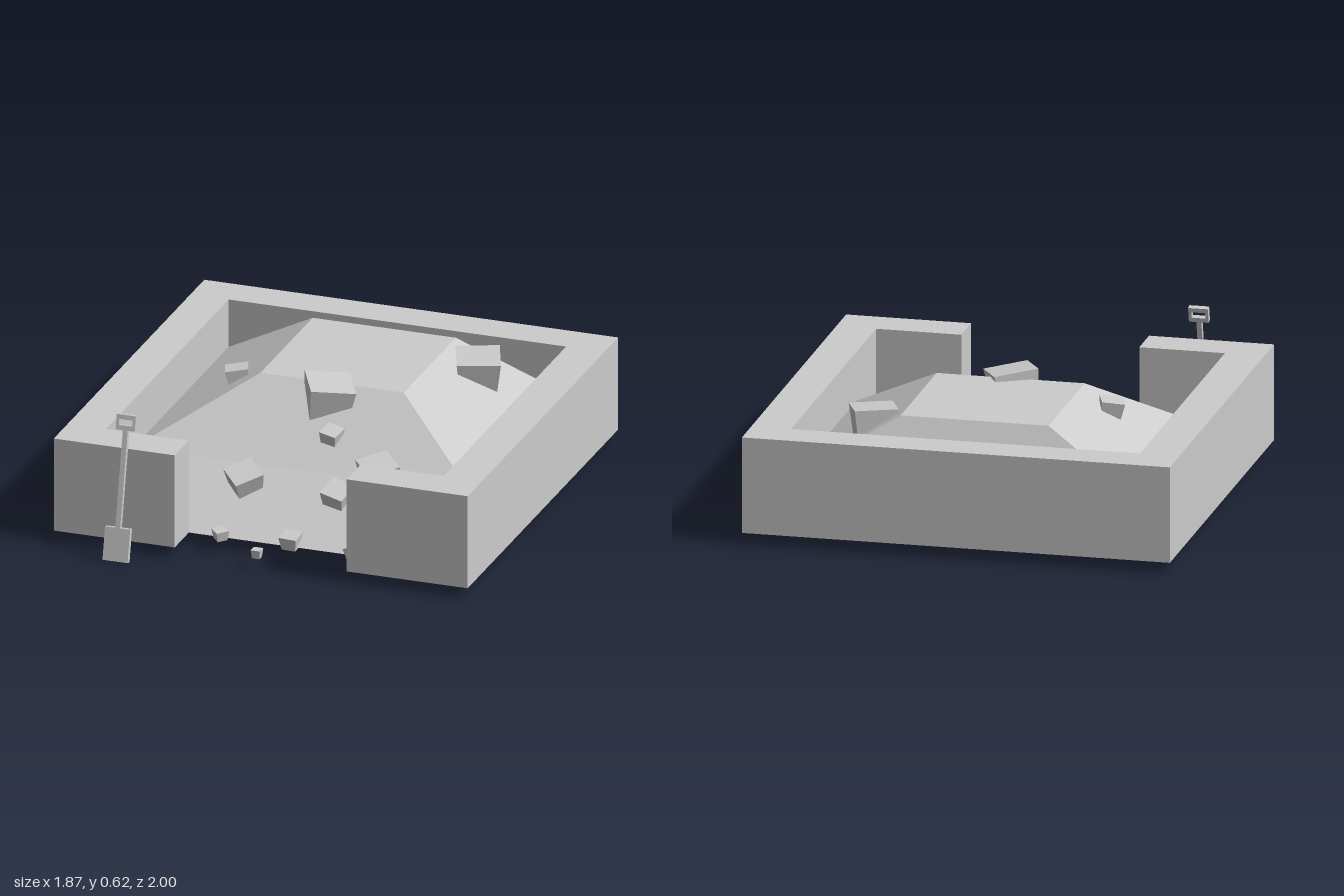
import * as THREE from 'three';

const stone = new THREE.MeshStandardMaterial({ color: 0xcccccc, flatShading: true });
const sheet = new THREE.MeshStandardMaterial({ color: 0xcccccc, flatShading: true, side: THREE.DoubleSide });

function addMesh(parent, name, geometry, material = stone) {
  const mesh = new THREE.Mesh(geometry, material);
  mesh.name = name;
  parent.add(mesh);
  return mesh;
}

// U-shaped enclosure with a gap in the front, drawn in plan and extruded upward
function wallGeometry() {
  const plan = [
    [-0.935, 1], [-0.935, -0.865], [-0.39, -0.865], [-0.39, -0.69], [-0.763, -0.69], [-0.763, 0.83],
    [0.757, 0.83], [0.757, -0.69], [0.385, -0.69], [0.385, -0.865], [0.93, -0.865], [0.93, 1],
  ];
  const shape = new THREE.Shape(plan.map(([x, y]) => new THREE.Vector2(x, y)));
  const geo = new THREE.ExtrudeGeometry(shape, { depth: 0.422, bevelEnabled: false });
  return geo.rotateX(-Math.PI / 2).translate(0, 0.05, 0);
}

// Flat-topped heap, open underneath, sloping down to the gap
function moundGeometry() {
  const ring = (x0, x1, z0, z1, y) => [[x0, y, z1], [x1, y, z1], [x1, y, z0], [x0, y, z0]];
  const rim = ring(-0.763, 0.757, -0.83, 0.345, 0.255);
  const top = ring(-0.325, 0.32, -0.665, -0.02, 0.515);
  const toe = [[-0.763, 0.05, 0.69], [0.757, 0.05, 0.69]];
  const quads = [top, [toe[0], toe[1], rim[1], rim[0]]];
  for (let i = 0; i < 4; i++) {
    const j = (i + 1) % 4;
    quads.push([rim[i], rim[j], top[j], top[i]]);
  }
  const points = quads.flatMap(([a, b, c, d]) => [a, b, c, a, c, d]).flat();
  const geo = new THREE.BufferGeometry();
  geo.setAttribute('position', new THREE.Float32BufferAttribute(points, 3));
  geo.computeVertexNormals();
  return geo;
}

// Block narrowing downward, with its origin at the centre of the top face
function rockGeometry(size, height, taper = 0.78) {
  const geo = new THREE.BoxGeometry(size, height, size).translate(0, -height / 2, 0);
  const p = geo.attributes.position;
  for (let i = 0; i < p.count; i++) {
    if (p.getY(i) < -height / 2) p.setXYZ(i, p.getX(i) * taper, p.getY(i), p.getZ(i) * taper);
  }
  geo.computeVertexNormals();
  return geo;
}

function createShovel() {
  const shovel = new THREE.Group();
  shovel.name = 'shovel';
  const t = 0.025;
  const bar = (name, w, h, x, y, d = t) =>
    addMesh(shovel, name, new THREE.BoxGeometry(w, h, d).translate(x, y, 0));
  bar('blade', 0.113, 0.145, 0, 0.0725);
  bar('shaft', 0.022, 0.43, 0, 0.355, 0.022);
  // Rectangular grip around a hole
  bar('gripBottom', 0.086, 0.02, 0, 0.576);
  bar('gripTop', 0.086, 0.02, 0, 0.622);
  for (const side of [-1, 1]) bar('gripSide', 0.013, 0.026, side * 0.0365, 0.599);
  shovel.position.set(-0.611, 0.003, 0.985);
  shovel.rotation.x = -0.224;
  return shovel;
}

export function createModel() {
  const model = new THREE.Group();
  model.name = 'rubblePit';
  addMesh(model, 'wall', wallGeometry());
  addMesh(model, 'mound', moundGeometry(), sheet);

  // Rocks: x, y, z of top centre, size, height, yaw, forward tilt, sideways tilt
  const rocks = [
    [0.47, 0.507, -0.53, 0.188, 0.19, 0.375, 0.08, -0.04],
    [0.01, 0.54, 0.035, 0.195, 0.2, 0.49, 0.03, -0.15],
    [-0.47, 0.482, -0.12, 0.1, 0.1, 0.35, 0, 0.15],
    [0.08, 0.398, 0.21, 0.08, 0.085, -0.2, 0.25, -0.1],
    [0.33, 0.328, 0.33, 0.145, 0.15, 0.76, 0.22, 0],
    [-0.225, 0.266, 0.47, 0.13, 0.13, 0.76, 0.38, 0],
    [0.2, 0.248, 0.475, 0.108, 0.11, -0.23, 0.38, -0.1],
    [-0.245, 0.088, 0.7, 0.058, 0.045, 0.75, 0.1, 0],
    [0.065, 0.1, 0.68, 0.08, 0.06, -0.07, 0.15, 0],
    [0.34, 0.103, 0.695, 0.065, 0.06, 0.3, 0.2, 0.1],
    [-0.025, 0.088, 0.85, 0.042, 0.038, 0, 0, 0],
  ];
  for (const [x, y, z, size, height, yaw, forward, sideways] of rocks) {
    const rock = addMesh(model, 'rock', rockGeometry(size, height));
    rock.position.set(x, y, z);
    rock.rotation.set(forward, yaw, sideways, 'XZY');
  }

  model.add(createShovel());
  return model;
}
